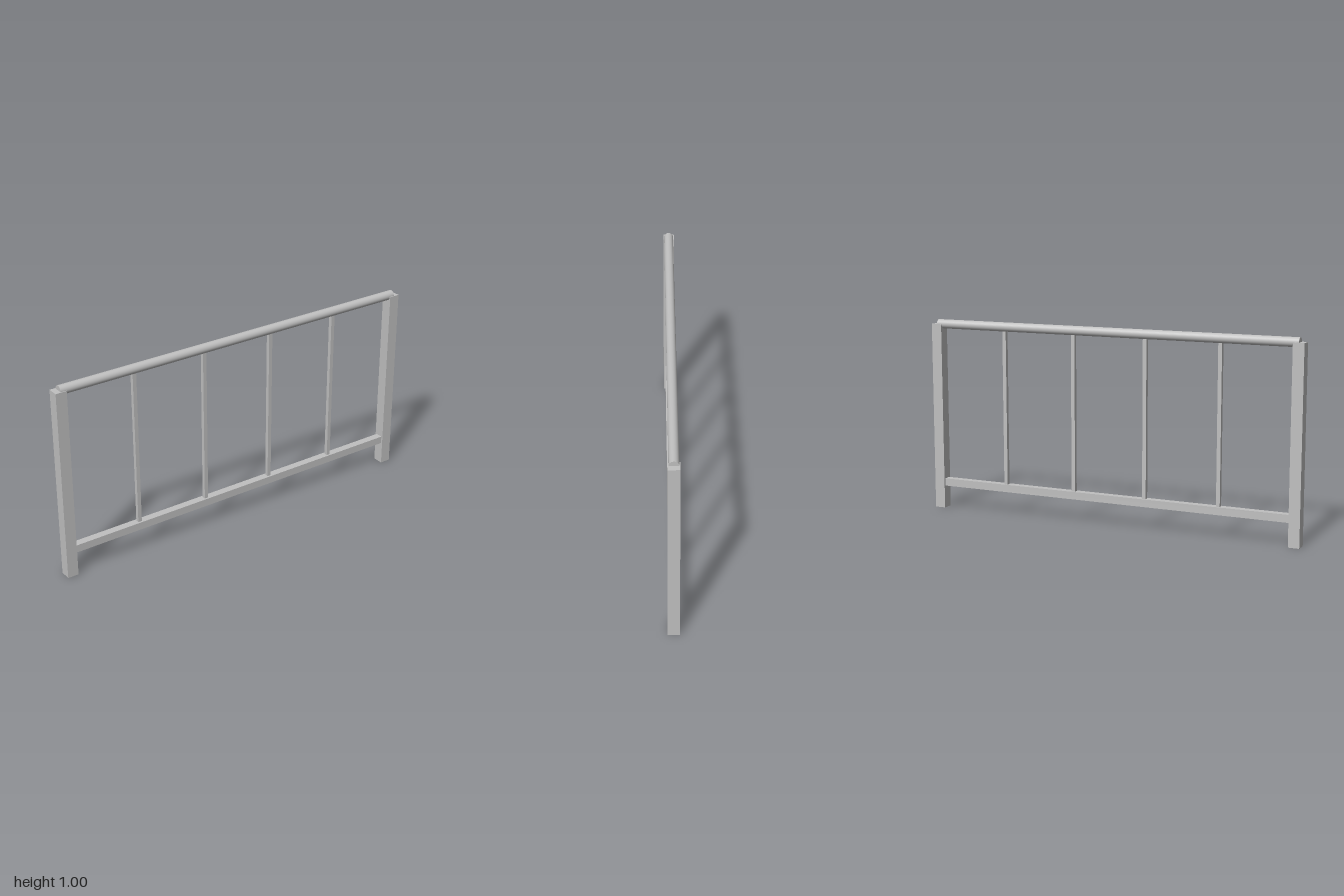
import * as THREE from 'three';

export function createModel() {
  const group = new THREE.Group();
  group.name = 'railing';
  const steel = new THREE.MeshStandardMaterial({ color: 0xc0c0c0 });
  steel.name = 'grey steel';

  const postW = 0.056, postH = 0.973, postX = 1 - postW / 2;
  const railY = 0.973, railR = 0.0235;
  const lowY = 0.137, lowSize = 0.039;

  const add = (name, geometry, x, y) => {
    const mesh = new THREE.Mesh(geometry, steel);
    mesh.name = name;
    mesh.position.set(x, y, 0);
    group.add(mesh);
    return mesh;
  };

  // Square end posts
  for (const [side, name] of [[1, 'leftPost'], [-1, 'rightPost']]) {
    add(name, new THREE.BoxGeometry(postW, postH, postW), side * postX, postH / 2);
  }

  // Round handrail, half sunk into the post tops
  const handrail = new THREE.CylinderGeometry(railR, railR, 2 * postX, 32);
  handrail.rotateZ(Math.PI / 2);
  add('handrail', handrail, 0, railY);

  // Square bottom rail
  add('bottomRail', new THREE.BoxGeometry(2 * postX, lowSize, lowSize), 0, lowY);

  // Four evenly spaced balusters from bottom rail to handrail
  const pitch = (2 * postX) / 5;
  for (let i = 0; i < 4; i++) {
    add('baluster' + (i + 1), new THREE.BoxGeometry(0.0195, railY - lowY, 0.0195),
      (i - 1.5) * pitch, (railY + lowY) / 2);
  }

  return group;
}
